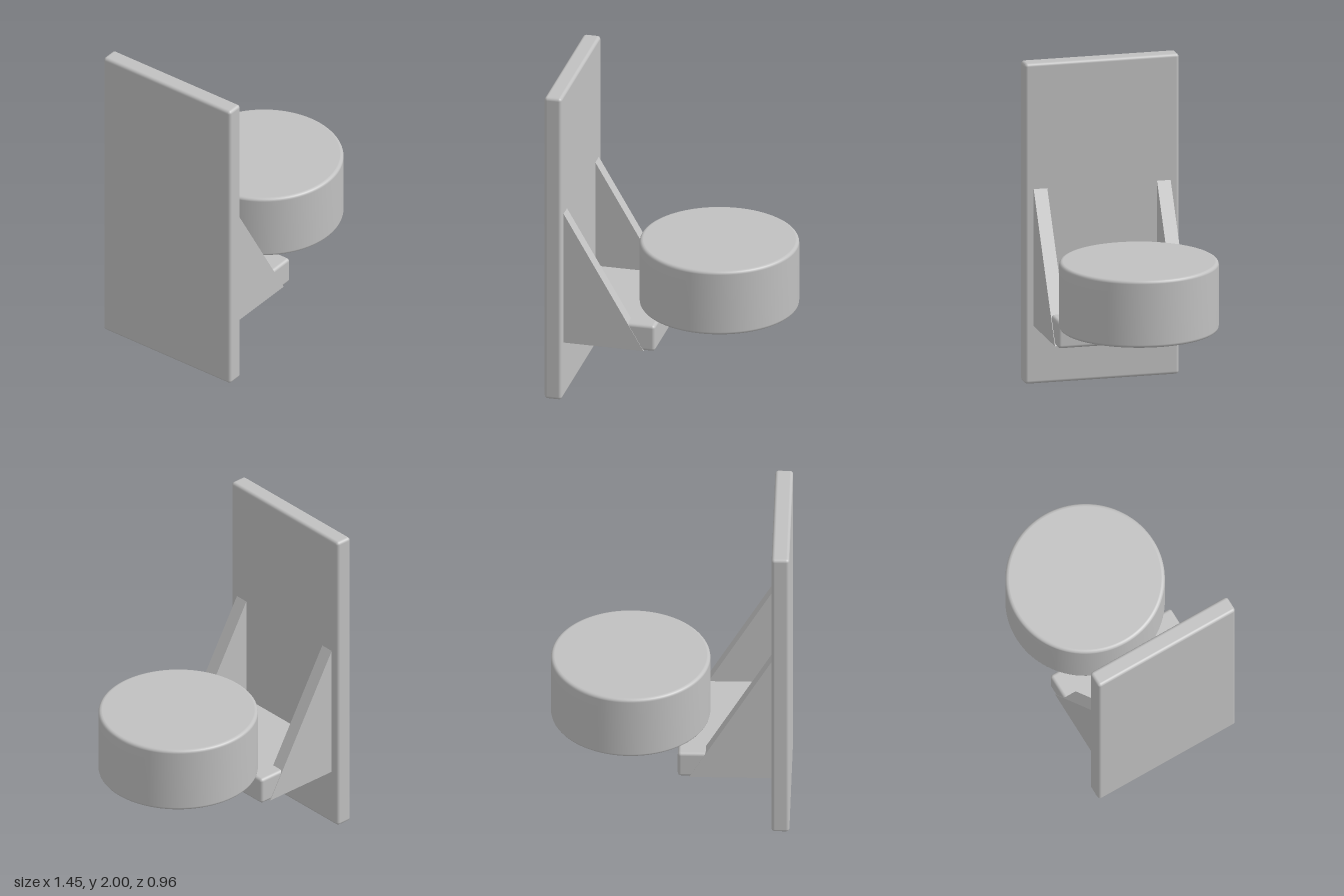
import * as THREE from 'three';
import { RoundedBoxGeometry } from 'three/addons/geometries/RoundedBoxGeometry.js';

export function createModel() {
  const model = new THREE.Group();
  const grey = new THREE.MeshStandardMaterial({ color: 0xc0c0c0 });
  grey.name = 'light grey';

  const add = (name, geometry, x, y, z) => {
    const mesh = new THREE.Mesh(geometry, grey);
    mesh.name = name;
    mesh.position.set(x, y, z);
    model.add(mesh);
  };

  // Upright back plate and the shelf block standing out from it
  add('backPlate', new RoundedBoxGeometry(0.108, 2, 0.964, 3, 0.02), -0.672, 1, 0);
  add('shelf', new RoundedBoxGeometry(0.59, 0.17, 0.85, 3, 0.02), -0.345, 0.447, 0);

  // Triangular gussets on both sides of the shelf
  const triangle = new THREE.Shape([
    new THREE.Vector2(-0.64, 0.362),
    new THREE.Vector2(-0.12, 0.362),
    new THREE.Vector2(-0.62, 1.22),
    new THREE.Vector2(-0.64, 1.22),
  ]);
  const depth = 0.085;
  for (const [name, z] of [['leftGusset', 0.343], ['rightGusset', -0.343 - depth]]) {
    add(name, new THREE.ExtrudeGeometry(triangle, { depth, bevelEnabled: false }), 0, 0, z);
  }

  // Round drum with softened rims, lathed from bottom centre to top centre
  const radius = 0.482, height = 0.42, bevel = 0.02;
  const profile = [new THREE.Vector2(0, 0), new THREE.Vector2(radius - bevel - 0.002, 0)];
  for (const [cy, start] of [[bevel, -Math.PI / 2], [height - bevel, 0]]) {
    for (let i = 0; i <= 4; i++) {
      const a = start + (i / 4) * Math.PI / 2;
      profile.push(new THREE.Vector2(radius - bevel + bevel * Math.cos(a), cy + bevel * Math.sin(a)));
    }
  }
  profile.push(new THREE.Vector2(radius - bevel - 0.002, height), new THREE.Vector2(0, height));
  add('drum', new THREE.LatheGeometry(profile, 96), 0.244, 0.538, 0);

  return model;
}
